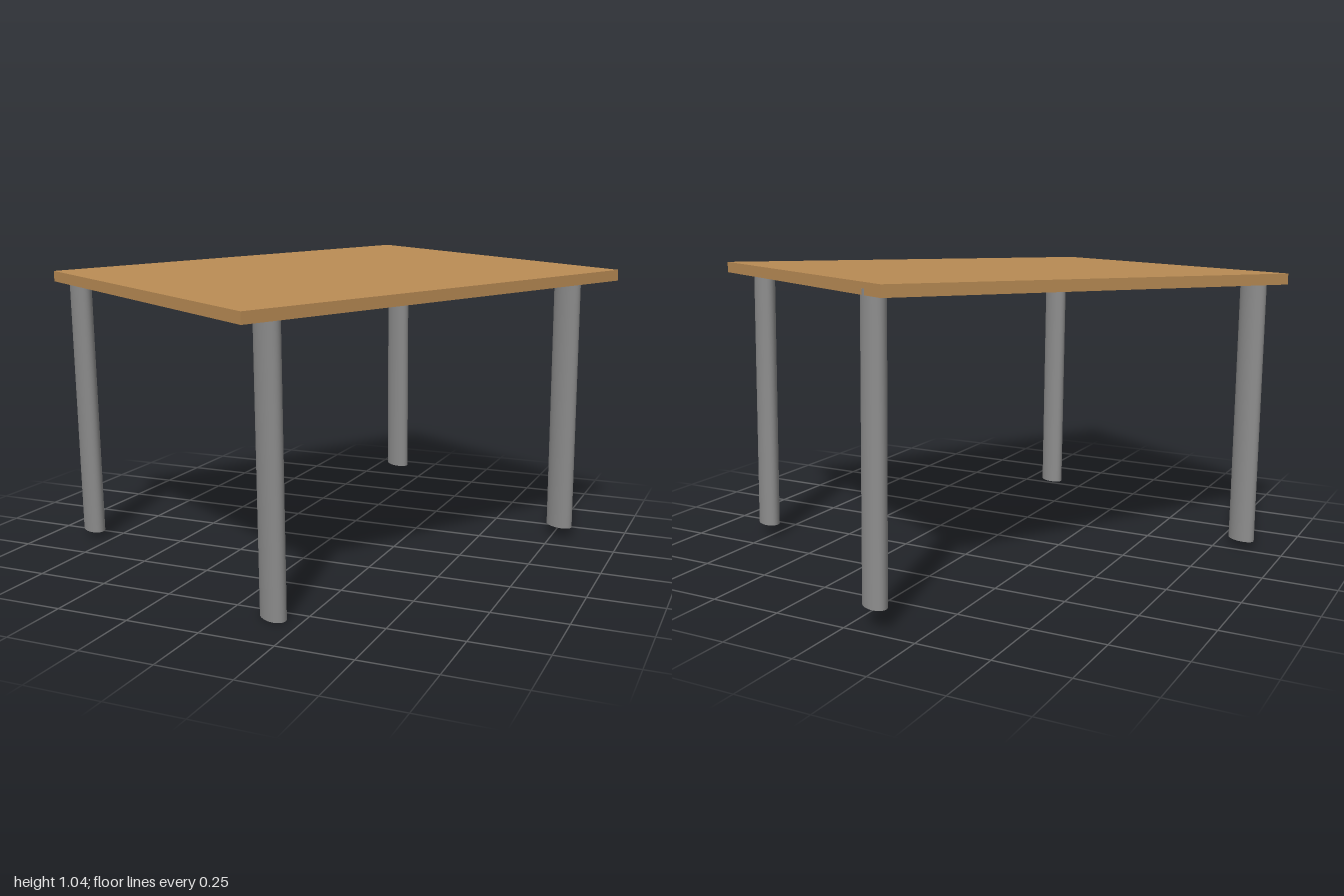
import * as THREE from 'three';

export function createModel() {
  const wood = new THREE.MeshStandardMaterial({ color: 0xb98b54 });
  wood.name = 'wood';
  const metal = new THREE.MeshStandardMaterial({ color: 0x8c8c8c });
  metal.name = 'grey metal';

  const width = 1.3, depth = 1.553, thickness = 0.038, legBottom = -0.967;

  // Whole table is turned and slightly tilted; local y = 0 is the table surface
  const table = new THREE.Group();
  table.name = 'table';
  const across = new THREE.Vector3(0.857, -0.023, 0.515).normalize();
  const along = new THREE.Vector3(-0.515, -0.029, 0.857);
  const up = along.clone().cross(across).normalize();
  along.crossVectors(across, up);
  table.quaternion.setFromRotationMatrix(new THREE.Matrix4().makeBasis(across, up, along));
  table.position.y = 0.999;

  // Table top
  const top = new THREE.Mesh(new THREE.BoxGeometry(width, thickness, depth), wood);
  top.name = 'tableTop';
  top.position.y = -thickness / 2;
  table.add(top);

  // Four oval legs, unevenly placed near the corners
  const legLength = -legBottom - thickness / 2;
  const legGeometry = new THREE.CylinderGeometry(1, 1, legLength, 40).scale(0.055, 1, 0.034);
  const legs = [
    ['frontLeftLeg', 0.564, 0.637],
    ['frontRightLeg', -0.538, 0.724],
    ['backRightLeg', -0.533, -0.743],
    ['backLeftLeg', 0.493, -0.692],
  ];
  for (const [name, x, z] of legs) {
    const leg = new THREE.Mesh(legGeometry, metal);
    leg.name = name;
    leg.position.set(x, legBottom + legLength / 2, z);
    table.add(leg);
  }

  const model = new THREE.Group();
  model.name = 'tiltedTable';
  model.add(table);
  return model;
}
